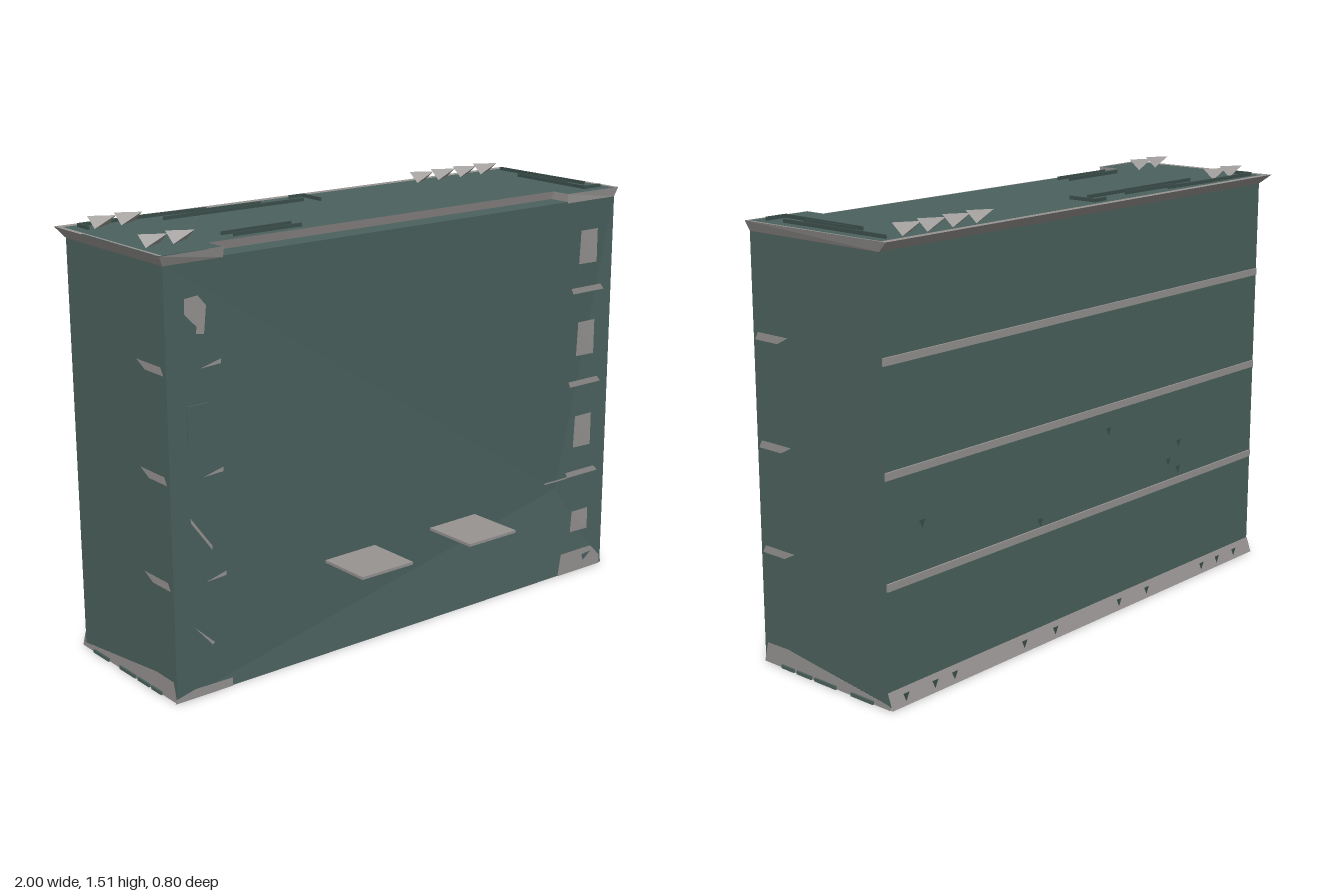
import * as THREE from 'three';

const mat = (name, color) => {
  const m = new THREE.MeshStandardMaterial({ color, side: THREE.DoubleSide, flatShading: true });
  m.name = name;
  return m;
};

export function createModel() {
  const root = new THREE.Group();
  const teal = mat('teal wall', 0x4b615d);
  const darkTeal = mat('dark teal trim', 0x3c4f4b);
  const grey = mat('grey stone', 0x969391);
  const brown = mat('brown door', 0x4a3128);

  const W = 0.98, F = 0.215, B = -0.36, H = 1.445; // half width, front, back, wall height

  const add = (name, geo, m) => {
    const mesh = new THREE.Mesh(geo, m);
    mesh.name = name;
    root.add(mesh);
    return mesh;
  };
  const box = (name, m, w, h, d, x, y, z) => {
    const b = add(name, new THREE.BoxGeometry(w, h, d), m);
    b.position.set(x, y, z);
    return b;
  };
  // Flat polygons in space, each triangulated as a fan from its first corner
  const polys = (name, m, list) => {
    const pos = [];
    for (const p of list)
      for (let i = 1; i < p.length - 1; i++) pos.push(...p[0], ...p[i], ...p[i + 1]);
    const g = new THREE.BufferGeometry();
    g.setAttribute('position', new THREE.Float32BufferAttribute(pos, 3));
    g.computeVertexNormals();
    return add(name, g, m);
  };
  const onFront = (pts, z = F + 0.004) => pts.map(([x, y]) => [x, y, z]);
  const onSide = (pts, s, out = 0.004) => pts.map(([z, y]) => [s * (W + out), y, z]);

  // Walls, open underneath; the front is dished towards one point
  const frontRing = [[-W, 0, F], [W, 0, F], [W, H, F], [-W, H, F]];
  const dish = [0.76, 0.34, 0.175];
  polys('frontWall', teal, frontRing.map((p, i) => [dish, p, frontRing[(i + 1) % 4]]));
  polys('backWall', teal, [[[W, 0, B], [-W, 0, B], [-W, H, B], [W, H, B]]]);

  // Side walls stand on a plinth that slopes down to the back
  for (const s of [-1, 1]) {
    polys('sideWall', teal, [onSide([[B, H], [B, 0.015], [0.1, 0.07], [0.2, 0.068], [F, 0], [F, H]], s, 0)]);
    polys('sidePlinth', grey, [onSide([[0.1, 0.072], [0.2, 0.07], [0.218, 0], [-0.375, 0], [-0.375, 0.014]], s, 0.002)]);
    for (const [z, w] of [[0.1, 0.06], [0.02, 0.07], [-0.08, 0.1], [-0.25, 0.1]])
      box('sidePlinthVent', teal, 0.008, 0.012, w, s * (W + 0.004), 0.006, z);
  }

  // Roof, cut back along the front above a lower ledge
  const roof = new THREE.Shape([[-W, 0.375], [W, 0.375], [W, -F], [0.74, -F], [0.74, -0.14],
    [-0.76, -0.14], [-0.76, -F], [-W, -F]].map(p => new THREE.Vector2(...p)));
  const roofGeo = new THREE.ShapeGeometry(roof);
  roofGeo.rotateX(-Math.PI / 2);
  add('roof', roofGeo, teal).position.y = 1.473;
  polys('roofFrontLedge', teal, [[[-0.76, H, F], [0.74, H, F], [0.74, H, 0.13], [-0.76, H, 0.13]]]);

  // Flared cornice following the roof outline, with ledges at the back and ends
  const low = [[-0.76, F], [-W, F], [-W, B], [W, B], [W, F], [0.74, F], [0.74, 0.13], [-0.76, 0.13]];
  const high = [[-0.76, 0.222], [-1, 0.23], [-1, -0.4], [0.99, -0.4], [0.995, 0.22], [0.74, F], [0.74, 0.14], [-0.76, 0.14]];
  const at = ([x, z], y) => [x, y, z];
  polys('cornice', grey, low.map((p, i) => {
    const j = (i + 1) % low.length;
    return [at(p, 1.44), at(low[j], 1.44), at(high[j], 1.474), at(high[i], 1.474)];
  }));
  polys('corniceLedge', grey, [
    [[-1, 1.474, -0.375], [0.99, 1.474, -0.375], [0.99, 1.474, -0.4], [-1, 1.474, -0.4]],
    ...[-1, 1].map(s => [[s * 0.995, 1.474, 0.22], [s * 0.99, 1.474, -0.4], [s * W, 1.473, -0.375], [s * W, 1.473, F]]),
  ]);

  // Chimneys: faceted blocks spanning opposite corners of a box
  for (const [x, z] of [[-0.92, 0.07], [-0.82, 0.07], [-0.88, -0.3], [-0.78, -0.3],
    [0.52, -0.335], [0.625, -0.335], [0.735, -0.335], [0.84, -0.335]]) {
    const [a, b, c, d] = [[-1, 1.474, 1], [1, 1.474, -1], [-1, 1.51, -1], [1, 1.51, 1]]
      .map(([i, y, k]) => [x + i * 0.04, y, z + k * 0.0225]);
    polys('chimney', grey, [[a, d, c], [b, c, d], [a, b, d], [a, c, b]]);
  }

  // Low roof rails, each from (x, z) to (x, z)
  for (const [x1, z1, x2, z2] of [
    [-0.94, -0.35, -0.64, -0.345], [-0.94, -0.35, -0.94, -0.28], [-0.7, -0.35, -0.45, -0.335],
    [-0.52, -0.315, -0.24, -0.31], [-0.66, -0.275, -0.08, -0.275], [-0.09, -0.345, -0.03, -0.345],
    [-0.03, -0.345, -0.03, -0.24], [-0.66, 0.06, -0.38, 0.055], [-0.64, 0.1, -0.37, 0.1],
    [0.88, -0.19, 0.87, 0.17], [0.87, 0.17, 0.95, 0.17], [0.94, -0.35, 0.94, 0.1], [0.9, -0.17, 0.9, 0.05]]) {
    const r = box('roofRail', darkTeal, Math.hypot(x2 - x1, z2 - z1), 0.012, 0.006,
      (x1 + x2) / 2, 1.479, (z1 + z2) / 2);
    r.rotation.y = -Math.atan2(z2 - z1, x2 - x1);
  }

  // String courses on every storey, full width behind and returning at the corners
  for (const y of [1.11, 0.755, 0.4]) {
    box('backCourse', grey, 1.95, 0.025, 0.008, 0, y, B - 0.002);
    polys('frontCourse', grey, [
      onFront([[0.77, y + 0.012], [0.92, y + 0.012], [0.94, y - 0.01], [0.78, y - 0.01]]),
      onFront([[-0.86, y - 0.008], [-0.78, y - 0.003], [-0.78, y + 0.012]]),
    ]);
    for (const s of [-1, 1])
      polys('sideCourse', grey, [onSide([[0.205, y - 0.014], [0.1, y - 0.014], [0.05, y + 0.012], [0.19, y + 0.012]], s)]);
  }
  polys('frontCourseEnd', grey, [onFront([[0.66, 0.394], [0.78, 0.394], [0.78, 0.388], [0.66, 0.388]])]);

  // Corner windows on the front, each folded along its diagonal
  for (const [y, h] of [[1.27, 0.125], [0.925, 0.13], [0.565, 0.125], [0.205, 0.085]]) {
    const [l, r, t, b, z] = [0.812, 0.897, y + h / 2, y - h / 2, F + 0.003];
    polys('cornerWindow', grey, [
      [[l, t, z], [r, b, z], [r, t, z]],
      [[l, t, z], [l, b, z - 0.006], [r, b, z]],
    ]);
  }
  polys('cornerWindowPieces', grey, [
    onFront([[-0.84, 1.21], [-0.83, 1.3], [-0.86, 1.335], [-0.91, 1.33], [-0.91, 1.28], [-0.865, 1.25], [-0.87, 1.215]]),
    onFront([[-0.91, 0.62], [-0.83, 0.51], [-0.83, 0.495], [-0.91, 0.605]]),
    onFront([[-0.91, 0.25], [-0.83, 0.175], [-0.84, 0.17]]),
  ]);
  box('emptyWindowFrame', teal, 0.08, 0.125, 0.006, -0.87, 0.925, F);

  // Plinth: sloped face behind with a flat ledge turned inwards below it
  polys('backPlinth', grey, [
    [[W, 0.055, B - 0.002], [-W, 0.055, B - 0.002], [-W, 0, -0.382], [W, 0, -0.382]],
    [[W, 0, -0.382], [-W, 0, -0.382], [-W, 0, -0.3], [W, 0, -0.3]],
  ]);
  polys('frontPlinth', grey, [
    onFront([[0.745, 0], [0.97, 0], [0.97, 0.035], [0.92, 0.085], [0.76, 0.085]]),
    onFront([[-0.99, 0], [-0.765, 0], [-0.765, 0.03], [-0.91, 0.032], [-0.985, 0.015]]),
  ]);
  polys('frontPlinthVent', teal, [onFront([[0.87, 0.06], [0.92, 0.065], [0.88, 0.035]], F + 0.006)]);

  // Cellar vents and small wall vents on the back
  const vent = (x, y, z, r) =>
    polys('vent', darkTeal, [[[x - r, y + r, z], [x + r, y + r, z], [x, y - r, z]]]);
  for (const x of [0.92, 0.79, 0.7, 0.36, 0.2, -0.15, -0.31, -0.65, -0.75, -0.86]) vent(x, 0.03, -0.383, 0.014);
  for (const [x, y] of [[0.82, 0.57], [-0.1, 0.67], [0.26, 0.43], [-0.45, 0.48], [-0.51, 0.54], [-0.51, 0.44]])
    vent(x, y, B - 0.004, 0.014);

  // Recessed ground floor behind the front wall: wall, plinth, windows, cellar hatches
  const R = 0.14;
  box('innerWall', teal, 1.5, 0.33, 0.006, -0.01, 0.165, R + 0.006);
  for (const [x, w] of [[0.62, 0.25], [-0.02, 0.25], [-0.53, 0.3]])
    box('innerPlinth', grey, w, 0.07, 0.008, x, 0.035, R);
  for (const x of [0.66, 0.43, -0.015, -0.46, -0.68])
    box('groundWindow', grey, 0.08, 0.1, 0.009, x, 0.215, R);
  for (const x of [0.42, -0.05, -0.36, -0.76])
    box('cellarHatch', darkTeal, 0.13, 0.03, 0.03, x, 0.03, R - 0.01);

  // Entrances: double door under a projecting canopy
  for (const x of [0.23, -0.25]) {
    box('doorFrame', brown, 0.23, 0.29, 0.008, x, 0.175, R);
    for (const s of [-1, 1]) box('doorLeaf', brown, 0.1, 0.275, 0.014, x + s * 0.053, 0.175, R);
    box('canopy', grey, 0.22, 0.01, 0.26, x, 0.333, 0.27);
  }
  return root;
}
